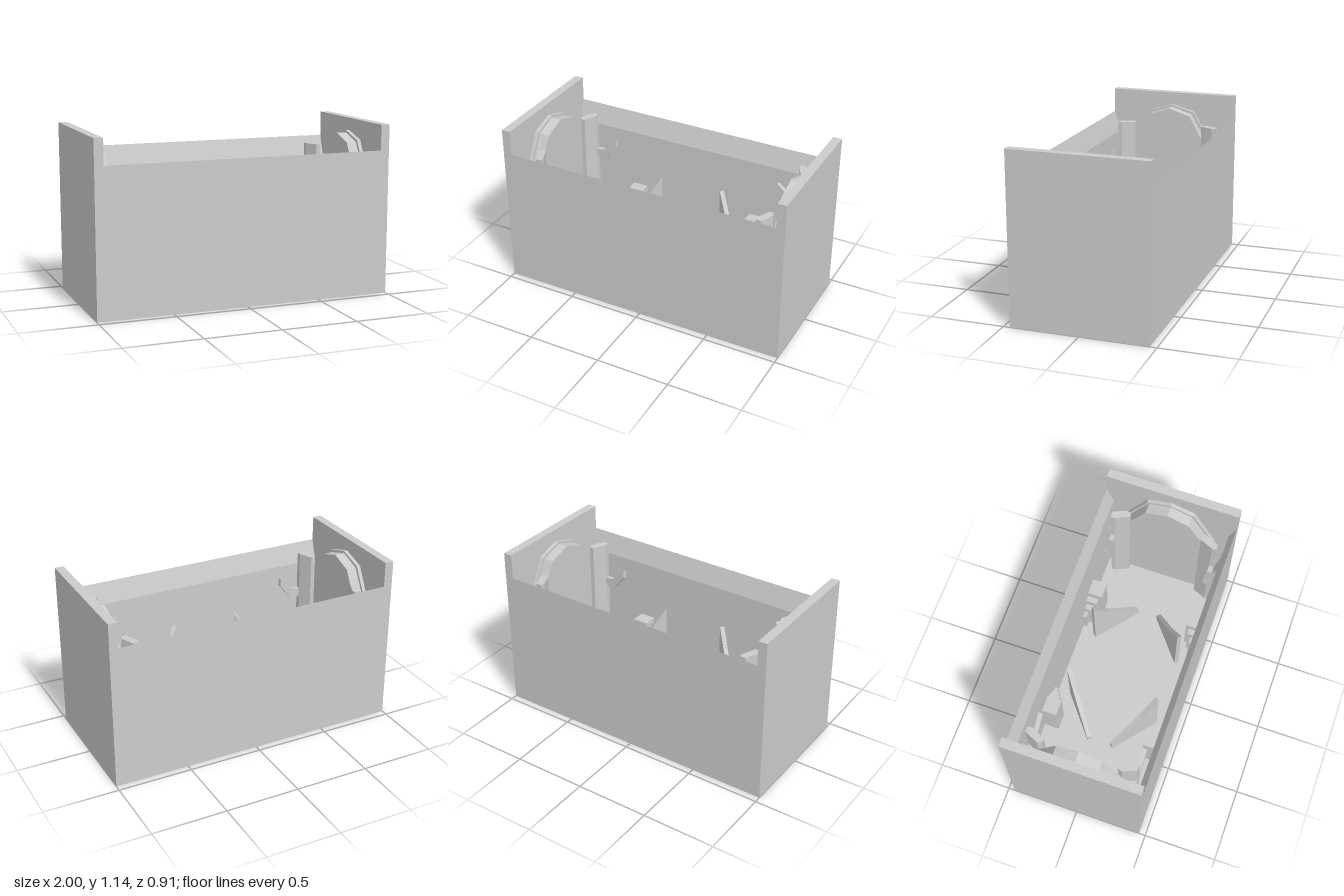
import * as THREE from 'three';

const mat = new THREE.MeshStandardMaterial({ color: 0xcccccc, flatShading: true });

// Prism from a 2D outline: axis 'z' takes (x,y), 'x' takes (z,y), 'y' takes (x,z)
function prism(name, axis, pts, from, to, holes = []) {
  const flip = ([a, b]) =>
    axis === 'x' ? new THREE.Vector2(-a, b) : axis === 'y' ? new THREE.Vector2(a, -b) : new THREE.Vector2(a, b);
  const shape = new THREE.Shape(pts.map(flip));
  holes.forEach((h) => shape.holes.push(new THREE.Path(h.map(flip))));
  const lo = Math.min(from, to);
  const geo = new THREE.ExtrudeGeometry(shape, { depth: Math.abs(to - from), bevelEnabled: false });
  geo.translate(0, 0, lo);
  if (axis === 'x') geo.rotateY(Math.PI / 2);
  if (axis === 'y') geo.rotateX(-Math.PI / 2);
  const mesh = new THREE.Mesh(geo, mat);
  mesh.name = name;
  return mesh;
}

const rect = (a0, b0, a1, b1) => [[a0, b0], [a1, b0], [a1, b1], [a0, b1]];

export function createModel() {
  const group = new THREE.Group();
  group.name = 'trough';
  const add = (...args) => group.add(prism(...args));
  const floorY = 0.1;

  // Floor, with a recessed slot under each end
  add('floorUnderside', 'y', rect(-0.94, -0.41, 0.94, 0.41), 0, 0.06,
    [rect(-0.92, -0.39, -0.76, 0.39), rect(0.76, -0.39, 0.92, 0.39)]);
  add('floor', 'y', rect(-0.94, -0.41, 0.94, 0.41), 0.06, floorY);

  // Long walls, tapering to a sharp outer edge at the top
  for (const s of [1, -1]) {
    add(s > 0 ? 'frontWall' : 'backWall', 'x',
      [[s * 0.455, 0], [s * 0.455, 0.97], [s * 0.41, 0.83], [s * 0.41, 0]], -0.94, 0.94);
  }

  for (const sx of [1, -1]) {
    const side = sx > 0 ? 'left' : 'right';

    // Taller end walls
    add(side + 'EndWall', 'x', rect(-0.455, 0, 0.455, 1.14), sx * 0.94, sx);

    // Faceted arch against the end wall, with a thin larger backing
    const arch = (g) => [
      [-0.31 - g, floorY], [-0.31 - g, 0.71], [-0.15 - g, 0.99 + g], [0, 1.04 + g],
      [0.15 + g, 0.99 + g], [0.31 + g, 0.71], [0.31 + g, floorY],
    ];
    add(side + 'Arch', 'x', arch(0), sx * 0.845, sx * 0.915);
    add(side + 'ArchBacking', 'x', arch(0.015), sx * 0.915, sx * 0.94);

    for (const sz of [1, -1]) {
      const corner = side + (sz > 0 ? 'Front' : 'Back');

      // Sloped fillet between arch and long wall
      add(corner + 'Fillet', 'x', [[sz * 0.41, floorY], [sz * 0.41, 0.6], [sz * 0.31, floorY]],
        sx * 0.845, sx * 0.94);

      // Clip: upright folded strip and an upturned arm
      add(corner + 'ClipUpright', 'y',
        [[0.84, 0.25], [0.81, 0.25], [0.77, 0.34], [0.77, 0.37], [0.81, 0.37], [0.85, 0.28]]
          .map(([x, z]) => [sx * x, sz * z]), floorY, 0.93);
      add(corner + 'ClipArm', 'z',
        [[0.83, 0.66], [0.72, 0.67], [0.62, 0.76], [0.615, 0.71], [0.7, 0.61], [0.83, 0.6]]
          .map(([x, y]) => [sx * x, y]), sz * 0.34, sz * 0.37);

      // Stepped block against the long wall
      for (let i = 0; i < 4; i++) {
        add(corner + 'StepBlock', 'y',
          rect(sx * 0.51, sz * (0.31 + i * 0.025), sx * (0.4 - i * 0.04), sz * 0.41),
          floorY, 0.42 - i * 0.05);
      }

      // Diagonal sloping fin running towards the middle of the floor
      const a = [0.23, 0.31], b = [0.51, 0.08];
      const len = Math.hypot(b[0] - a[0], b[1] - a[1]);
      const fin = prism(corner + 'Fin', 'z',
        [[0, floorY], [0, 0.61], [len * 0.35, 0.42], [len, 0.16], [len, floorY]], -0.015, 0.015);
      fin.position.set(sx * a[0], 0, sz * a[1]);
      fin.rotation.y = Math.atan2(-sz * (b[1] - a[1]), sx * (b[0] - a[0]));
      group.add(fin);
    }
  }
  return group;
}
